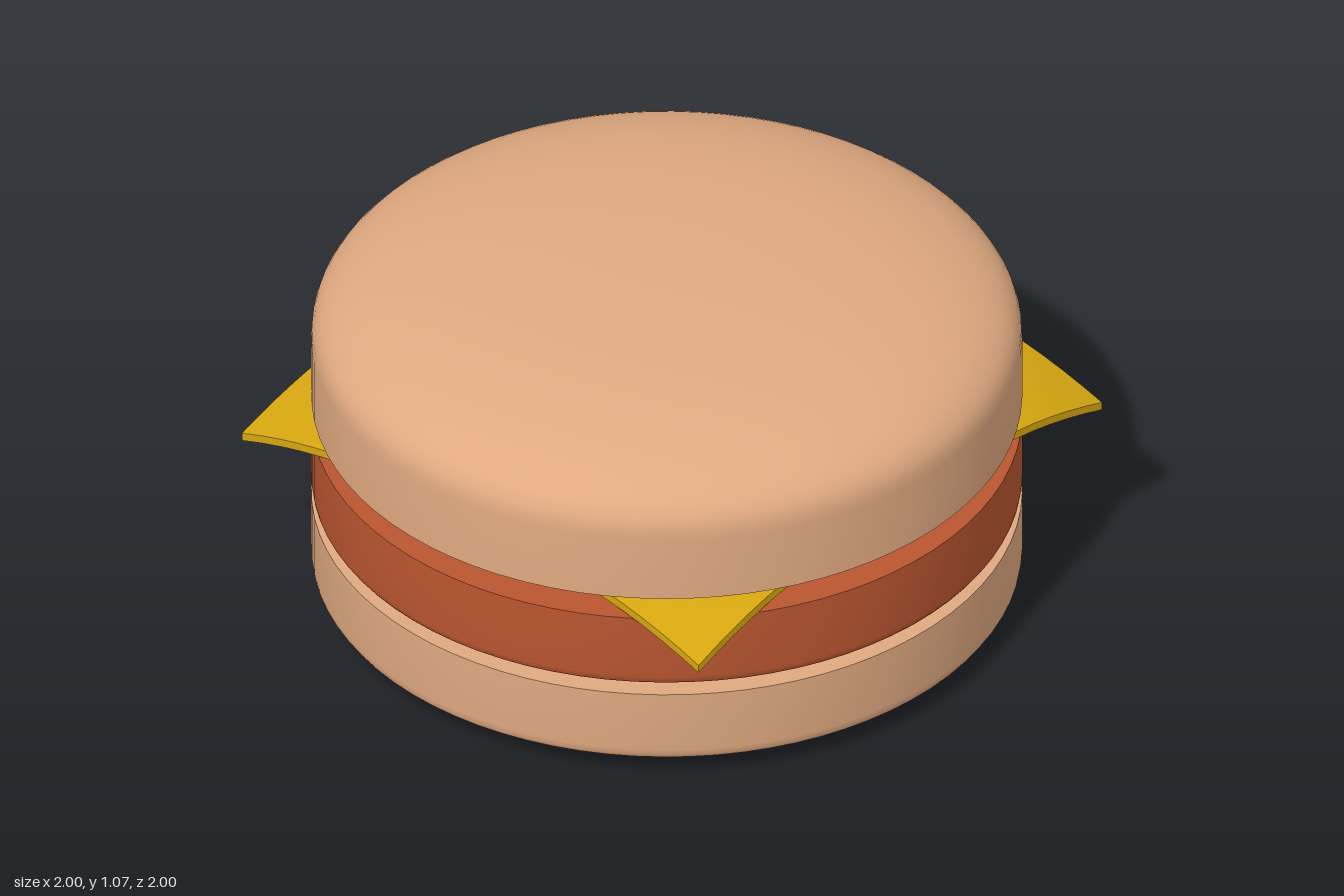
import * as THREE from 'three';
import { toCreasedNormals } from 'three/addons/utils/BufferGeometryUtils.js';

const bunMat = new THREE.MeshStandardMaterial({ color: 0xe0a980 });
const pattyMat = new THREE.MeshStandardMaterial({ color: 0xbb5630 });
const cheeseMat = new THREE.MeshStandardMaterial({ color: 0xd6a610 });

// Round layer: flat face at flatY, straight wall to wallY, then a superellipse dome to domeY
function roundLayer(name, flatY, wallY, domeY, power, material) {
  const pts = [new THREE.Vector2(0, flatY), new THREE.Vector2(1, flatY)];
  const steps = 20;
  for (let i = 0; i <= steps; i++) {
    const a = (i / steps) * Math.PI / 2;
    const r = i === steps ? 0 : Math.pow(Math.cos(a), 2 / power);
    pts.push(new THREE.Vector2(r, wallY + (domeY - wallY) * Math.pow(Math.sin(a), 2 / power)));
  }
  if (domeY < flatY) pts.reverse(); // keep the faces pointing outward
  const geo = toCreasedNormals(new THREE.LatheGeometry(pts, 80), 0.7);
  const mesh = new THREE.Mesh(geo, material);
  mesh.name = name;
  return mesh;
}

// Square slice, flat in the middle, with corners that sag past the patty
function cheeseSlice() {
  const geo = new THREE.BoxGeometry(1.7, 0.025, 1.7, 24, 1, 24);
  const pos = geo.attributes.position;
  for (let i = 0; i < pos.count; i++) {
    const x = pos.getX(i), z = pos.getZ(i);
    const sag = Math.max(0, (Math.hypot(x, z) - 0.94) / 0.262);
    const flare = 1 + 0.008 * sag;
    pos.setXYZ(i, x * flare, pos.getY(i) - 0.095 * Math.pow(sag, 1.4), z * flare);
  }
  const mesh = new THREE.Mesh(toCreasedNormals(geo, 0.5), cheeseMat);
  mesh.name = 'cheeseSlice';
  mesh.position.set(0.045, 0.588, -0.02);
  return mesh;
}

export function createModel() {
  const burger = new THREE.Group();
  burger.name = 'burger';
  burger.add(
    roundLayer('bottomBun', 0.29, 0.1, 0, 3, bunMat),
    roundLayer('patty', 0.55, 0.35, 0.27, 3, pattyMat),
    cheeseSlice(),
    roundLayer('topBun', 0.62, 0.82, 1.065, 2.5, bunMat)
  );
  return burger;
}
